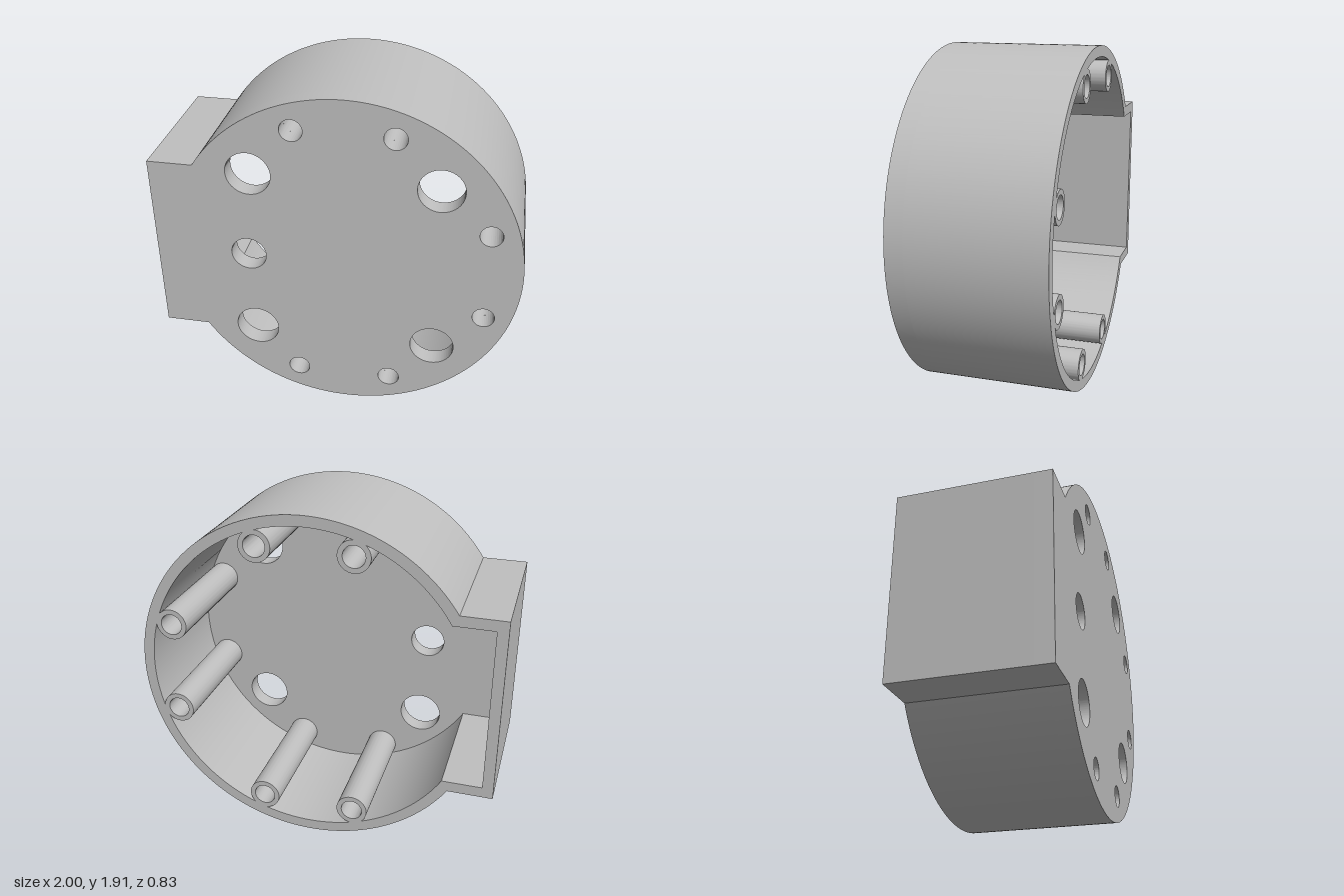
import * as THREE from 'three';
import { toCreasedNormals } from 'three/addons/utils/BufferGeometryUtils.js';

const CX = 0.045, CY = 0.956, R = 0.954;   // drum centre and radius
const HALF = 0.522;                        // half height of the side box
const BACK = -0.415, FRONT = 0.415;
const WALL = 0.06, PLATE = 0.1;

// Drum outline with a square box on its right, shrunk by an inset
function outline(PathType, inset) {
  const r = R - inset, h = HALF - inset, x = -1 + inset;
  const a = Math.PI - Math.asin(h / r);
  const path = new PathType();
  path.absarc(CX, CY, r, -a, a, false);
  path.lineTo(x, CY + h);
  path.lineTo(x, CY - h);
  path.closePath();
  return path;
}

function circle(PathType, x, y, r) {
  const path = new PathType();
  path.absarc(x, y, r, 0, Math.PI * 2, false);
  return path;
}

function extrude(shape, z0, z1, segments) {
  const geo = new THREE.ExtrudeGeometry(shape, { depth: z1 - z0, bevelEnabled: false, curveSegments: segments });
  geo.translate(0, 0, z0);
  return toCreasedNormals(geo, 0.5);
}

export function createModel() {
  const group = new THREE.Group();
  const grey = new THREE.MeshStandardMaterial({ color: 0xbfbfbf });
  grey.name = 'grey';
  const add = (name, geo) => {
    const mesh = new THREE.Mesh(geo, grey);
    mesh.name = name;
    group.add(mesh);
  };

  // Screw post positions: mirrored pairs above and below the centre
  const posts = [];
  for (const s of [1, -1]) {
    for (const [x, dy] of [[-0.218, 0.768], [0.308, 0.768], [0.813, 0.262]]) posts.push([x, CY + s * dy]);
  }

  // Front plate with all its holes
  const plate = outline(THREE.Shape, 0);
  for (const [x, y] of posts) plate.holes.push(circle(THREE.Path, x, y, 0.06));
  for (const x of [-0.455, 0.545]) {
    for (const s of [1, -1]) plate.holes.push(circle(THREE.Path, x, CY + s * 0.5, 0.121));
  }
  plate.holes.push(circle(THREE.Path, -0.478, CY, 0.097));
  add('frontPlate', extrude(plate, FRONT - PLATE, FRONT, 96));

  // Outer wall, open at the back
  const wall = outline(THREE.Shape, 0);
  wall.holes.push(outline(THREE.Path, WALL));
  add('outerWall', extrude(wall, BACK, FRONT - PLATE, 96));

  // Hollow screw posts
  for (const [x, y] of posts) {
    const post = circle(THREE.Shape, x, y, 0.088);
    post.holes.push(circle(THREE.Path, x, y, 0.06));
    add('screwPost', extrude(post, BACK, FRONT - PLATE, 40));
  }
  return group;
}
